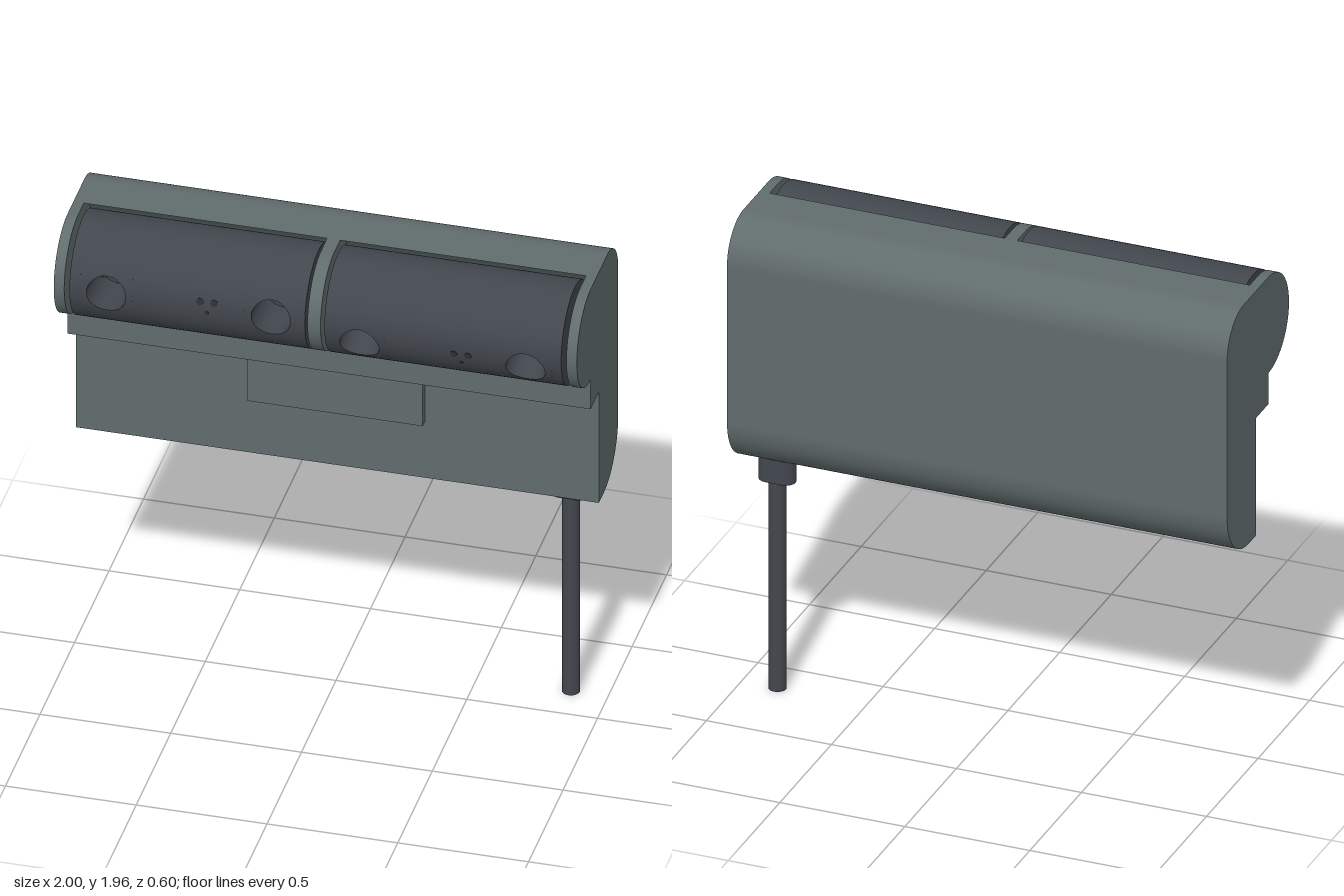
import * as THREE from 'three';
import { toCreasedNormals } from 'three/addons/utils/BufferGeometryUtils.js';
import { ParametricGeometry } from 'three/addons/geometries/ParametricGeometry.js';

const AXIS_Y = 1.76, AXIS_Z = 0.1, R = 0.2, POCKET_R = 0.217;
const HOLE_R = 0.075, CELL = 0.1;

export function createModel() {
  const model = new THREE.Group();
  const bodyMat = new THREE.MeshStandardMaterial({ color: 0x616c6d });
  bodyMat.name = 'greyGreenCasing';
  const drumMat = new THREE.MeshStandardMaterial({ color: 0x42474e });
  drumMat.name = 'charcoal';
  const dotMat = new THREE.MeshStandardMaterial({ color: 0x2e3237 });
  dotMat.name = 'darkSensor';

  function add(parent, name, geometry, material, x = 0, y = 0, z = 0) {
    const mesh = new THREE.Mesh(geometry, material);
    mesh.name = name;
    mesh.position.set(x, y, z);
    parent.add(mesh);
    return mesh;
  }

  // Side profile (shape x = model z); the pocket version has a hollow instead of the round lobe
  function profile(pocket) {
    const s = new THREE.Shape();
    s.moveTo(-0.02, 0.94);
    s.lineTo(-0.02, 1.43);
    s.lineTo(AXIS_Z, 1.43);
    if (pocket) {
      s.lineTo(AXIS_Z, AXIS_Y - POCKET_R);
      s.absarc(AXIS_Z, AXIS_Y, POCKET_R, -Math.PI / 2, Math.PI - Math.asin(R / POCKET_R), true);
    } else {
      s.lineTo(AXIS_Z, AXIS_Y - R);
      s.absarc(AXIS_Z, AXIS_Y, R, -Math.PI / 2, Math.PI / 2, false);
    }
    s.lineTo(-0.14, 1.96);
    s.absarc(-0.14, 1.8, 0.16, Math.PI / 2, Math.PI, false);
    s.lineTo(-0.3, 1.15);
    s.absarc(-0.09, 1.15, 0.21, Math.PI, Math.PI * 1.5, false);
    s.closePath();
    return s;
  }

  function casingSlice(name, x0, x1, pocket) {
    const g = new THREE.ExtrudeGeometry(profile(pocket), { depth: x1 - x0, bevelEnabled: false, curveSegments: 32 });
    g.rotateY(-Math.PI / 2);
    g.translate(x1, 0, 0);
    add(model, name, toCreasedNormals(g, 0.5), bodyMat);
  }

  // Casing: end cheeks, divider and two pocketed spans
  casingSlice('rightCheek', -1, -0.96, false);
  casingSlice('rightPocket', -0.96, -0.03, true);
  casingSlice('divider', -0.03, 0.02, false);
  casingSlice('leftPocket', 0.02, 0.96, true);
  casingSlice('leftCheek', 0.96, 1, false);

  // Raised panel on the lower front
  add(model, 'frontPanel', new THREE.BoxGeometry(0.67, 0.22, 0.045), bodyMat, 0, 1.3, -0.0075);

  const onDrum = (x, a, p) => p.set(x, R * Math.sin(a), R * Math.cos(a));

  // Smooth patch of drum wall
  function drumPatch(drum, x0, x1, a0, a1, steps) {
    add(drum, 'drumWall', new ParametricGeometry(
      (u, v, p) => onDrum(x0 + (x1 - x0) * u, a0 + (a1 - a0) * v, p), 1, steps), drumMat);
  }

  // Square piece of drum wall with a round recess in it
  function drumHole(drum, cx) {
    add(drum, 'holeSurround', new ParametricGeometry((u, v, p) => {
      const f = u * Math.PI * 2, c = Math.cos(f), s = Math.sin(f);
      const m = CELL / Math.max(Math.abs(c), Math.abs(s));
      const innerA = Math.asin(HOLE_R * s / R), outerA = m * s / R;
      onDrum(cx + c * (m + (HOLE_R - m) * v), outerA + (innerA - outerA) * v, p);
    }, 48, 4), drumMat);
    add(drum, 'holeWall', new ParametricGeometry((u, v, p) => {
      const f = u * Math.PI * 2, y = HOLE_R * Math.sin(f);
      p.set(cx + HOLE_R * Math.cos(f), y, Math.sqrt(R * R - y * y) * (1 - v));
    }, 48, 1), drumMat);
    add(drum, 'holeFloor', new THREE.CircleGeometry(HOLE_R, 48), drumMat, cx, 0, 0);
  }

  function makeDrum(name, x0, x1, holes, sensorX, tilt) {
    const drum = new THREE.Group();
    drum.name = name;
    drum.position.set(0, AXIS_Y, AXIS_Z);
    drum.rotation.x = tilt;
    const a = CELL / R;
    drumPatch(drum, x0, x1, a, Math.PI * 2 - a, 60);
    let x = x0;
    for (const h of holes) {
      drumPatch(drum, x, h - CELL, -a, a, 12);
      drumHole(drum, h);
      x = h + CELL;
    }
    drumPatch(drum, x, x1, -a, a, 12);
    for (const [end, side] of [[x0, -1], [x1, 1]]) {
      add(drum, 'drumEnd', new THREE.CircleGeometry(R, 64), drumMat, end).rotation.y = side * Math.PI / 2;
    }
    // Cluster of three small sensors
    for (const [dx, dy, r] of [[-0.027, 0.03, 0.014], [0.027, 0.03, 0.014], [0, -0.015, 0.008]]) {
      const t = Math.asin(dy / R);
      const g = new THREE.CylinderGeometry(r, r, 0.004, 20).rotateX(Math.PI / 2);
      add(drum, 'sensorDot', g, dotMat, sensorX + dx, R * Math.sin(t), R * Math.cos(t)).rotation.x = -t;
    }
    model.add(drum);
  }
  makeDrum('rightDrum', -0.94, -0.04, [-0.8, -0.17], -0.415, 0);
  makeDrum('leftDrum', 0.035, 0.94, [0.165, 0.8], 0.555, 0.35);

  // Pivots holding the drums between the cheeks
  for (const [x0, x1, r] of [[-0.965, -0.845, 0.048], [-0.042, -0.028, 0.15], [0.018, 0.037, 0.03], [0.935, 0.965, 0.03]]) {
    const g = new THREE.CylinderGeometry(r, r, x1 - x0, 32).rotateZ(Math.PI / 2);
    add(model, 'pivot', g, bodyMat, (x0 + x1) / 2, AXIS_Y, AXIS_Z);
  }

  // Cable and its rounded strain relief
  const plug = new THREE.Shape();
  plug.absarc(0.0335, 0, 0.039, -Math.PI / 2, Math.PI / 2, false);
  plug.absarc(-0.0335, 0, 0.039, Math.PI / 2, Math.PI * 1.5, false);
  const plugGeo = new THREE.ExtrudeGeometry(plug, { depth: 0.12, bevelEnabled: false, curveSegments: 12 });
  plugGeo.rotateX(-Math.PI / 2);
  add(model, 'strainRelief', toCreasedNormals(plugGeo, 0.6), drumMat, 0.857, 0.87, -0.157);
  add(model, 'cable', new THREE.CylinderGeometry(0.034, 0.034, 0.9, 24), drumMat, 0.857, 0.45, -0.157);

  return model;
}
